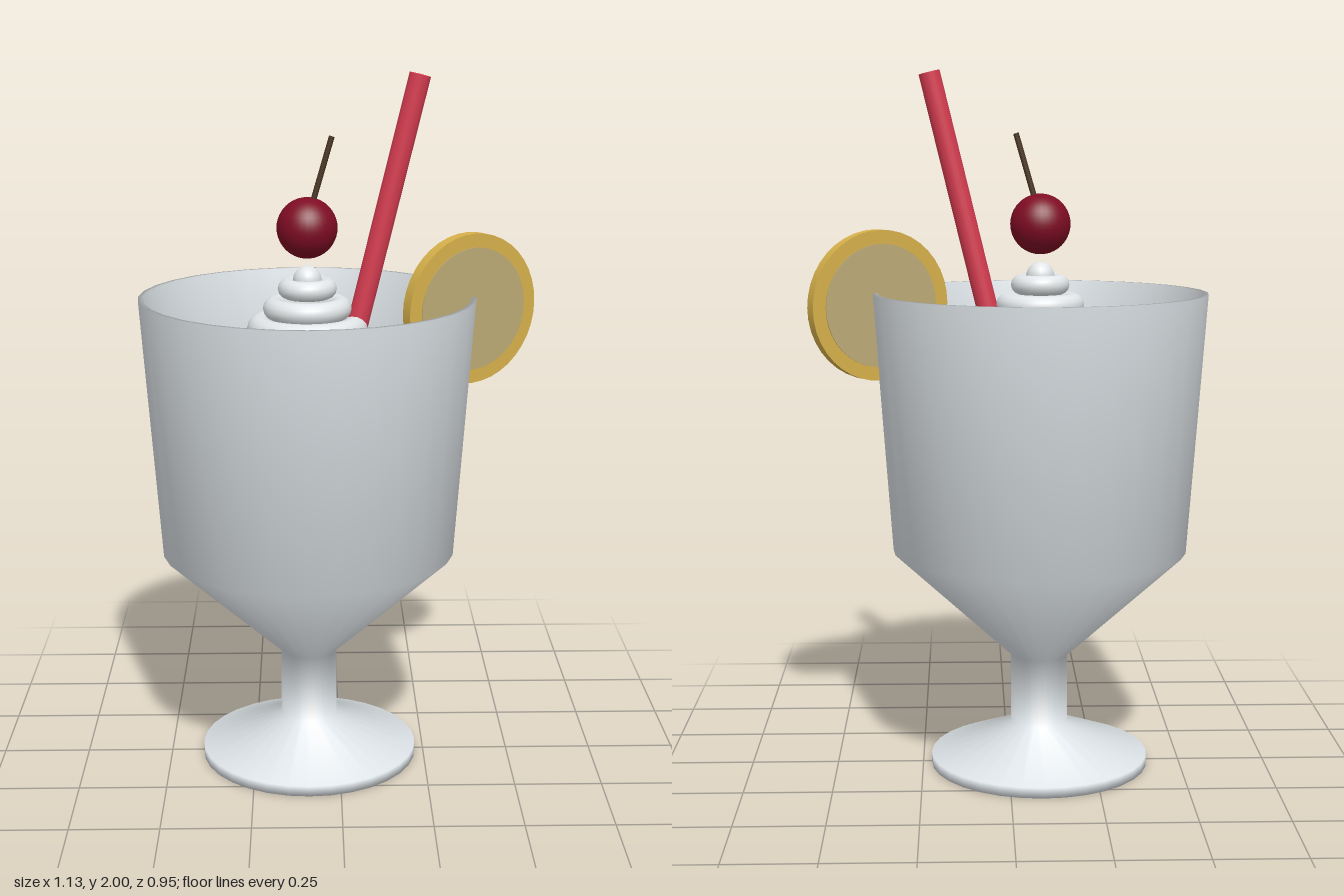
import * as THREE from 'three';

const mat = (name, color) => {
  const m = new THREE.MeshStandardMaterial({ color });
  m.name = name;
  return m;
};

export function createModel() {
  const glassMat = mat('pale glass', 0xdce2e6);
  const creamMat = mat('whipped cream', 0xe6eaec);
  const drinkMat = mat('creamy drink', 0xe4d8b8);
  const cherryMat = mat('cherry red', 0x7e0c24);
  const stemMat = mat('stem brown', 0x4a3522);
  const strawMat = mat('straw red', 0xd63c50);
  const rindMat = mat('citrus rind', 0xd6b04a);
  const pulpMat = mat('citrus pulp', 0xbcaa76);

  const model = new THREE.Group();
  model.name = 'dessertDrink';

  const add = (parent, name, geometry, material, x = 0, y = 0, z = 0) => {
    const mesh = new THREE.Mesh(geometry, material);
    mesh.name = name;
    mesh.position.set(x, y, z);
    parent.add(mesh);
    return mesh;
  };

  // Straight rod between two points
  const rod = (parent, name, from, to, radius, material, sides) => {
    const a = new THREE.Vector3(...from), b = new THREE.Vector3(...to);
    const dir = b.clone().sub(a);
    const mesh = add(parent, name, new THREE.CylinderGeometry(radius, radius, dir.length(), sides), material);
    mesh.position.copy(a).lerp(b, 0.5);
    mesh.quaternion.setFromUnitVectors(new THREE.Vector3(0, 1, 0), dir.normalize());
    return mesh;
  };

  // The goblet and its contents share one axis
  const drink = new THREE.Group();
  drink.name = 'drink';
  drink.position.x = -0.09;
  model.add(drink);

  // Goblet: foot, stem, cone, outer wall, rim, inner wall
  const profile = [
    [0, 0], [0.315, 0], [0.315, 0.03], [0.082, 0.125], [0.082, 0.325],
    [0.422, 0.64], [0.475, 1.38], [0.46, 1.38], [0.434, 1.2], [0.4, 0.65], [0, 0.36],
  ].map(([x, y]) => new THREE.Vector2(x, y));
  add(drink, 'goblet', new THREE.LatheGeometry(profile, 32), glassMat);

  // Drink filling the bowl
  add(drink, 'liquid', new THREE.CylinderGeometry(0.432, 0.395, 0.54, 32), drinkMat, 0, 0.93, 0);

  // Whipped cream: shrinking rings and a top dollop
  const rings = [[0.215, 0.042], [0.17, 0.036], [0.125, 0.031], [0.083, 0.028]];
  rings.forEach(([outer, tube], i) => {
    const ring = add(drink, 'creamRing' + (i + 1),
      new THREE.TorusGeometry(outer - tube, tube, 14, 40), creamMat, 0, 1.235 + i * 0.056, 0);
    ring.rotation.x = -Math.PI / 2;
  });
  add(drink, 'creamTip', new THREE.SphereGeometry(0.04, 20, 14), creamMat, 0, 1.427, 0);

  // Cherry with its leaning stem
  add(drink, 'cherry', new THREE.SphereGeometry(0.085, 32, 20), cherryMat, 0, 1.573, 0);
  rod(drink, 'cherryStem', [0.012, 1.63, 0], [0.069, 1.825, 0], 0.008, stemMat, 8);

  // Straw
  rod(model, 'straw', [0.01, 1.13, 0], [0.22, 1.992, 0], 0.03, strawMat, 20);

  // Citrus slice set on the rim
  const slice = new THREE.Group();
  slice.name = 'citrusSlice';
  slice.position.set(0.367, 1.345, 0);
  slice.rotation.y = Math.PI / 6;
  model.add(slice);
  const disc = (name, radius, depth, material) => {
    add(slice, name, new THREE.CylinderGeometry(radius, radius, depth, 40), material).rotation.x = Math.PI / 2;
  };
  disc('rind', 0.213, 0.036, rindMat);
  disc('pulp', 0.174, 0.042, pulpMat);

  return model;
}
